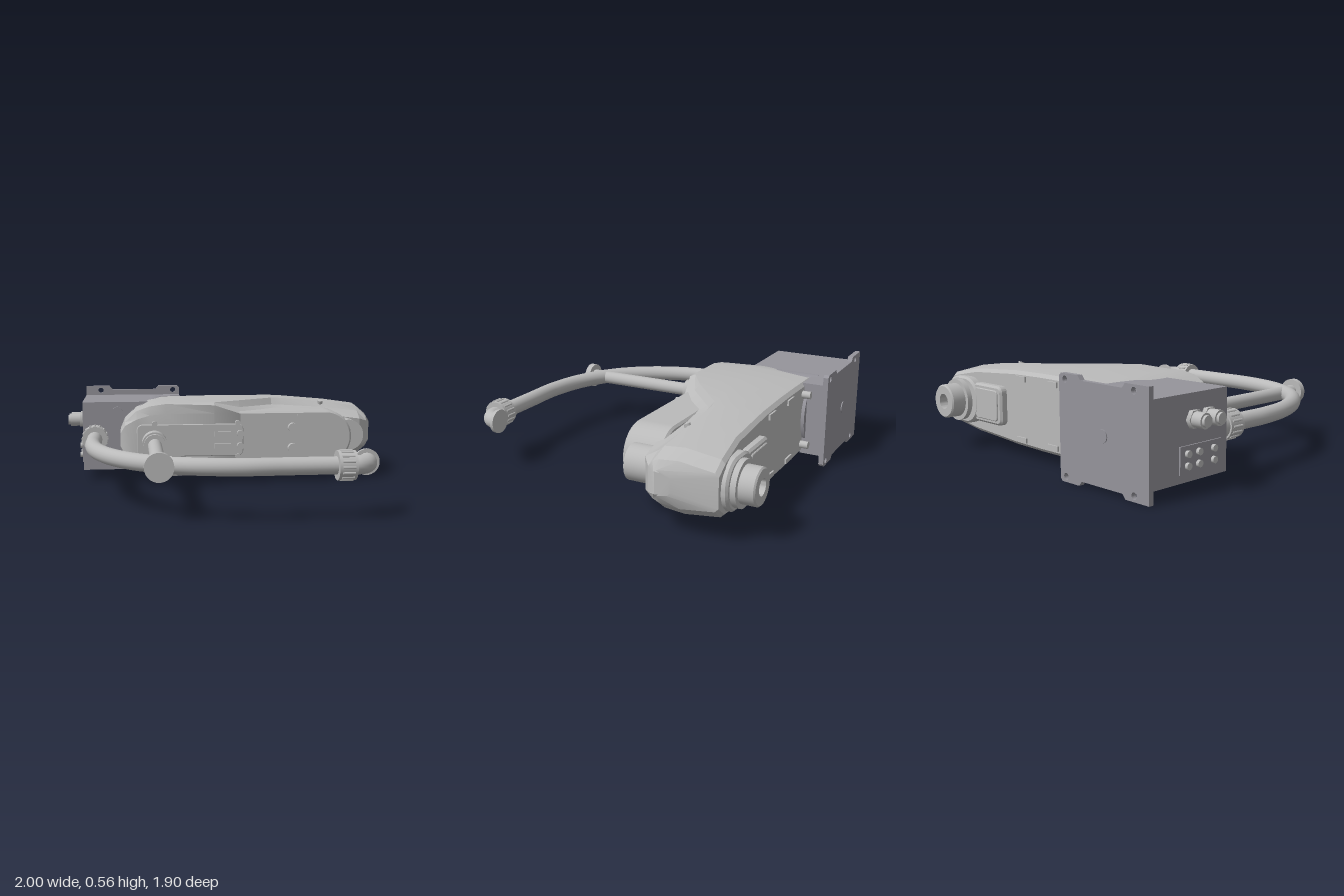
import * as THREE from 'three';
import { toCreasedNormals } from 'three/addons/utils/BufferGeometryUtils.js';

const CY = 0.285; // height of the mirror plane

export function createModel() {
  const root = new THREE.Group();
  root.name = 'robotArm';
  const mat = (name, color) => {
    const m = new THREE.MeshStandardMaterial({ color });
    m.name = name;
    return m;
  };
  const light = mat('lightGrey', 0xbababa);
  const dark = mat('baseGrey', 0x95949b);
  const add = (name, geo, material, x = 0, y = 0, z = 0) => {
    const m = new THREE.Mesh(geo, material);
    m.name = name;
    m.position.set(x, y, z);
    root.add(m);
    return m;
  };
  const box = (name, x0, x1, y0, y1, z0, z1, m) =>
    add(name, new THREE.BoxGeometry(x1 - x0, y1 - y0, z1 - z0), m, (x0 + x1) / 2, (y0 + y1) / 2, (z0 + z1) / 2);
  // cylinder running along z or x
  const cylZ = (name, r, x, y, z0, z1, m = light, sides = 28, r2 = r) =>
    add(name, new THREE.CylinderGeometry(r2, r, z1 - z0, sides).rotateX(Math.PI / 2), m, x, y, (z0 + z1) / 2);
  const cylX = (name, r, x0, x1, y, z, m = light, sides = 28) =>
    add(name, new THREE.CylinderGeometry(r, r, x1 - x0, sides).rotateZ(-Math.PI / 2), m, (x0 + x1) / 2, y, z);
  // rounded slab facing z
  const slab = (name, x0, x1, half, r, z0, z1, m, bevel = 0.012) => {
    const s = new THREE.Shape();
    const a = x0 + bevel, b = x1 - bevel, h = half - bevel, q = Math.min(r, h - 0.0005);
    s.absarc(b - q, h - q, q, 0, Math.PI / 2);
    s.absarc(a + q, h - q, q, Math.PI / 2, Math.PI);
    s.absarc(a + q, q - h, q, Math.PI, Math.PI * 1.5);
    s.absarc(b - q, q - h, q, Math.PI * 1.5, Math.PI * 2);
    const g = new THREE.ExtrudeGeometry(s, {
      depth: z1 - z0 - 2 * bevel, bevelEnabled: bevel > 0, bevelSize: bevel, bevelThickness: bevel, bevelSegments: 1, curveSegments: 14,
    });
    return add(name, toCreasedNormals(g, 0.5), m, 0, CY, z0 + bevel);
  };

  // mounting flange with corner tabs and bolt holes
  const f = new THREE.Shape();
  [[-0.9, 0], [-0.74, 0], [-0.72, 0.025], [-0.42, 0.025], [-0.4, 0], [-0.27, 0], [-0.255, 0.015],
    [-0.255, 0.55], [-0.27, 0.565], [-0.4, 0.565], [-0.42, 0.54], [-0.72, 0.54], [-0.74, 0.565], [-0.9, 0.565]]
    .forEach(([x, y], i) => (i ? f.lineTo(x, y) : f.moveTo(x, y)));
  for (const x of [-0.8, -0.3]) for (const y of [0.03, 0.535]) {
    f.holes.push(new THREE.Path().absarc(x, y, 0.018, 0, Math.PI * 2, true));
  }
  add('mountingFlange', new THREE.ExtrudeGeometry(f, { depth: 0.03, bevelEnabled: false }), dark, 0, 0, -0.922);
  cylZ('flangeCentreBoss', 0.035, -0.58, CY, -0.928, -0.92, dark);

  // base housing
  box('baseHousing', -0.9, -0.42, 0.067, 0.503, -0.9, -0.37, dark);
  box('baseFoot', -0.43, -0.257, 0.067, 0.503, -0.9, -0.77, dark);
  cylZ('jointCollar', 0.22, -0.44, CY, -0.8, -0.35, dark, 40);
  for (const y of [0.13, 0.44]) {
    cylZ('basePlug', 0.033, -0.68, y, -0.38, -0.355, dark);
    cylZ('armStopPin', 0.022, -0.235, y, -0.83, -0.77, light, 16);
  }

  // cable glands and sockets on the end of the base
  for (const z of [-0.625, -0.52]) {
    cylX('cableGlandNut', 0.05, -0.925, -0.9, 0.375, z, light, 6);
    cylX('cableGland', 0.04, -0.985, -0.925, 0.375, z);
    cylX('cableGlandTip', 0.03, -1.0, -0.985, 0.375, z);
  }
  for (const z of [-0.67, -0.59, -0.48]) for (const y of [0.15, 0.21]) {
    cylX('airSocket', 0.018, -0.925, -0.9, y, z, light, 16);
  }
  box('socketPanel', -0.908, -0.899, 0.11, 0.25, -0.72, -0.42, dark);

  // arm: sections along x [x, back z, back half, widest half, crease z, step half, front z, front half]
  const sections = [
    [-0.66, -0.74, 0.05, 0.055, -0.24, 0.05, -0.18, 0.04],
    [-0.63, -0.76, 0.11, 0.125, -0.22, 0.11, -0.16, 0.09],
    [-0.56, -0.78, 0.17, 0.19, -0.2, 0.18, -0.14, 0.13],
    [-0.48, -0.78, 0.2, 0.222, -0.18, 0.21, -0.13, 0.155],
    [-0.38, -0.78, 0.215, 0.236, -0.17, 0.225, -0.12, 0.165],
    [-0.08, -0.78, 0.22, 0.24, -0.155, 0.215, -0.12, 0.165],
    [0.09, -0.78, 0.22, 0.24, -0.27, 0.19, -0.17, 0.155],
    [0.33, -0.78, 0.215, 0.236, -0.475, 0.185, -0.32, 0.15],
    [0.4, -0.78, 0.21, 0.232, -0.49, 0.18, -0.33, 0.145],
    [0.7, -0.785, 0.19, 0.205, -0.49, 0.16, -0.34, 0.12],
    [0.91, -0.805, 0.15, 0.175, -0.48, 0.135, -0.37, 0.09],
    [0.97, -0.8, 0.1, 0.125, -0.48, 0.1, -0.42, 0.07],
    [1.0, -0.56, 0.055, 0.068, -0.5, 0.06, -0.47, 0.05],
  ];
  const rings = sections.map(([x, zb, wb, w, zc, ws, zf, wf]) => {
    const half = [[zb, wb - 0.02], [zb + 0.02, wb], [(zb + zc) / 2 + 0.05, w], [zc, w - 0.01], [zc + 0.035, ws], [zf, wf]];
    return [...half.map(([z, h]) => [x, CY + h, z]), ...half.reverse().map(([z, h]) => [x, CY - h, z])];
  });
  const pos = [];
  const n = rings[0].length;
  for (let i = 0; i < rings.length - 1; i++) for (let j = 0; j < n; j++) {
    const k = (j + 1) % n;
    const [a, b, c, d] = [rings[i][j], rings[i][k], rings[i + 1][k], rings[i + 1][j]];
    pos.push(...a, ...b, ...c, ...a, ...c, ...d);
  }
  const last = rings[rings.length - 1];
  for (let j = 1; j < n - 1; j++) {
    pos.push(...rings[0][0], ...rings[0][j + 1], ...rings[0][j]);
    pos.push(...last[0], ...last[j], ...last[j + 1]);
  }
  const armGeo = new THREE.BufferGeometry();
  armGeo.setAttribute('position', new THREE.Float32BufferAttribute(pos, 3));
  add('armBody', toCreasedNormals(armGeo, 0.35), light);

  // lower link, spindle boss and front panel
  slab('lowerLink', -0.3, 0.805, 0.168, 0.16, -0.4, -0.17, light);
  cylZ('spindleBoss', 0.1, 0.8, CY, -0.4, -0.235, light, 36);
  slab('frontPanel', -0.56, 0.1, 0.1, 0.03, -0.13, -0.113, light, 0.004);
  for (const x of [-0.45, 0.065]) for (const y of [-0.105, 0.105]) {
    cylZ('panelBolt', 0.017, x, CY + y, -0.13, -0.102, light, 12);
  }
  for (const y of [-0.065, 0.065]) {
    cylZ('linkConnector', 0.03, 0.42, CY + y, -0.18, -0.135, light, 20);
    cylZ('panelConnector', 0.022, 0.08, CY + y * 0.6, -0.12, -0.09, light, 16);
    box('panelSocket', -0.08, 0.02, CY + y * 0.6 - 0.015, CY + y * 0.6 + 0.015, -0.12, -0.098, light);
    cylZ('linkScrew', 0.01, 0.46, CY + y * 2.1, -0.18, -0.166, light, 10);
  }
  // side screws on the shoulders of the arm
  for (const s of [-1, 1]) {
    const m = cylZ('sideScrew', 0.018, 0.665, CY + s * 0.194, -0.01, 0.012, light, 16);
    m.position.z = -0.48;
    m.rotation.x = -s * Math.PI / 2.6;
  }

  // back cover, spindle housing and recessed grips
  slab('spindleCover', 0.62, 0.95, 0.14, 0.12, -0.835, -0.77, light);
  slab('serviceCover', 0.4, 0.68, 0.115, 0.025, -0.825, -0.77, light);
  slab('serviceCoverLid', 0.43, 0.65, 0.09, 0.02, -0.833, -0.82, light, 0.004);
  cylZ('spindleRing', 0.125, 0.8, CY, -0.865, -0.83, light, 36);
  const bore = [[0.045, 0], [0.1, 0], [0.1, 0.092], [0.092, 0.1], [0.045, 0.1], [0.045, 0]].map(([r, h]) => new THREE.Vector2(r, h));
  add('spindleHousing', toCreasedNormals(new THREE.LatheGeometry(bore, 36).rotateX(-Math.PI / 2), 0.5), light, 0.8, CY, -0.853);
  for (const x of [-0.02, 0.26]) for (const y of [-0.175, 0.175]) {
    box('backPad', x - 0.045, x + 0.045, CY + y - 0.015, CY + y + 0.015, -0.79, -0.77, light);
  }

  // straight shaft with collar and end disc
  const SX = -0.455;
  cylZ('shaftSocket', 0.062, SX, CY, -0.13, -0.02);
  cylZ('shaftCollar', 0.076, SX, CY, -0.025, 0.06, light, 32);
  cylZ('shaftCollarLip', 0.066, SX, CY, 0.06, 0.09);
  cylZ('shaft', 0.041, SX, CY, 0.08, 0.81);
  cylZ('shaftEndDisc', 0.077, SX, CY, 0.803, 0.84, light, 32);

  // curved cable hose with ribbed nuts
  const V = (x, z) => new THREE.Vector3(x, CY, z);
  const hose = new THREE.CatmullRomCurve3([V(-0.82, -0.25), V(-0.82, -0.1), V(-0.82, 0.03), V(-0.79, 0.24), V(-0.71, 0.45), V(-0.59, 0.62),
    V(-0.44, 0.74), V(-0.25, 0.825), V(-0.03, 0.865), V(0.2, 0.865), V(0.48, 0.865)]);
  add('hose', new THREE.TubeGeometry(hose, 80, 0.047, 20), light);
  cylZ('hoseSocket', 0.068, -0.82, CY, -0.38, -0.31);
  cylZ('hoseNutBase', 0.078, -0.82, CY, -0.325, -0.22);
  cylX('hoseNutEnd', 0.078, 0.455, 0.55, CY, 0.865);
  for (let i = 0; i < 16; i++) {
    const a = (i / 16) * Math.PI * 2, c = Math.cos(a) * 0.077, s = Math.sin(a) * 0.077;
    cylZ('nutRib', 0.007, -0.82 + c, CY + s, -0.31, -0.24, light, 6);
    cylX('nutRib', 0.007, 0.47, 0.535, CY + s, 0.865 + c, light, 6);
  }

  // elbow and its end flange
  const elbow = new THREE.CatmullRomCurve3([V(0.54, 0.865), V(0.575, 0.862), V(0.612, 0.842), V(0.632, 0.81), V(0.635, 0.775)]);
  add('elbow', new THREE.TubeGeometry(elbow, 24, 0.05, 20), light);
  cylZ('elbowFlange', 0.07, 0.635, CY, 0.765, 0.785, light, 32);
  return root;
}
